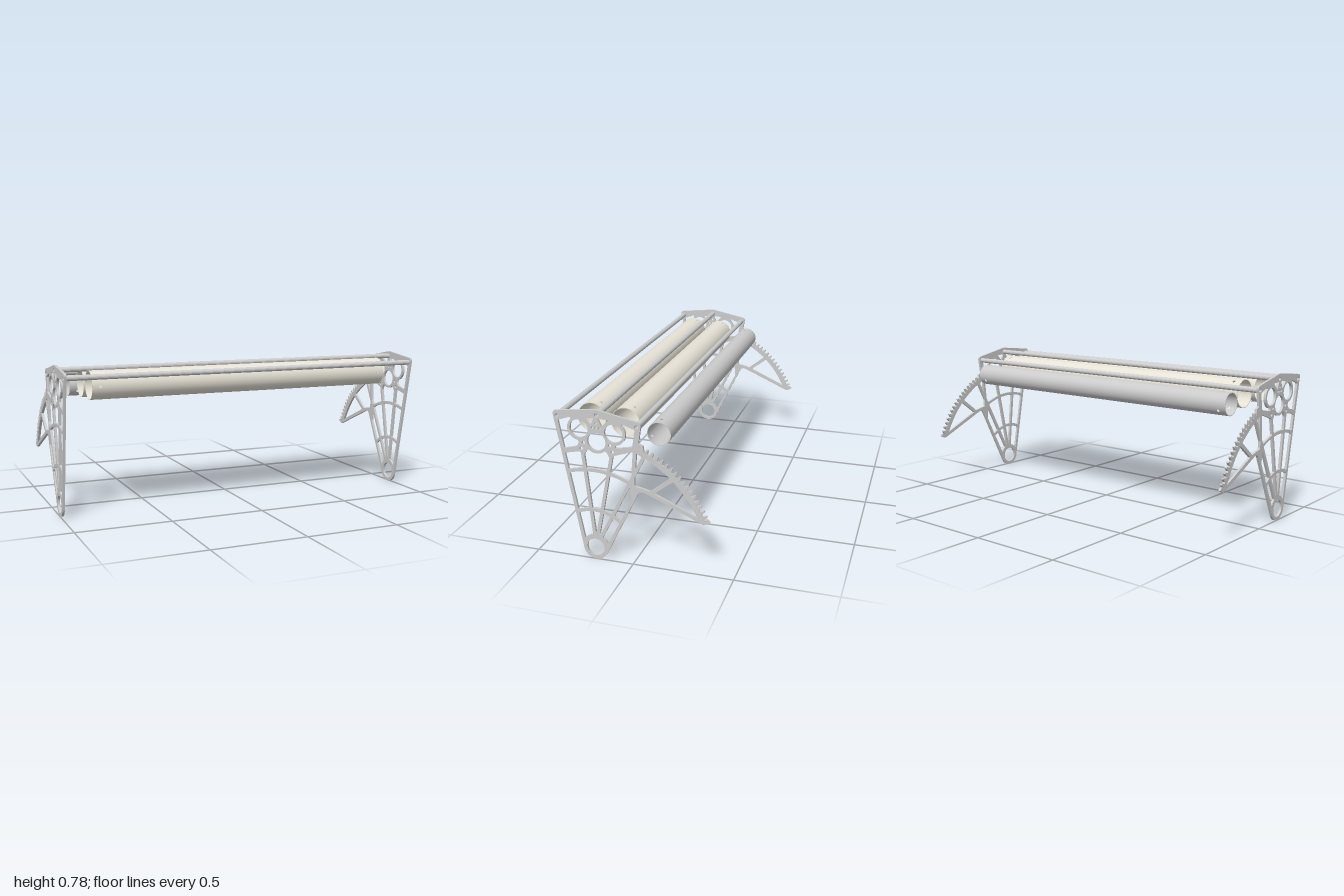
import * as THREE from 'three';
import { mergeGeometries } from 'three/addons/utils/BufferGeometryUtils.js';

const S = 0.00205;                    // size of one plate drawing unit
const PIVOT = { y: 0.0636, z: 0.19 }; // hub centre, origin of the plate drawing
const AXIS = 12;                      // mirror line of the roller rings
const grey = new THREE.MeshStandardMaterial({ color: 0xcccccc });
const cream = new THREE.MeshStandardMaterial({ color: 0xe6e2d6 });
const rodSpots = [[-83, 325], [14, 335], [109, 317]];

// Points on an arc, angles in degrees
function arc(r, a0, a1, n = 8, cx = 0, cy = 0) {
  return Array.from({ length: n + 1 }, (_, i) => {
    const a = THREE.MathUtils.degToRad(a0 + (a1 - a0) * i / n);
    return [cx + r * Math.cos(a), cy + r * Math.sin(a)];
  });
}

// Closed path through [x, y, cornerRadius]
function trace(path, pts) {
  const v = pts.map(p => new THREE.Vector2(p[0], p[1]).multiplyScalar(S));
  const n = v.length;
  pts.forEach((p, i) => {
    const toward = q => {
      const d = q.clone().sub(v[i]);
      return d.setLength(Math.min((p[2] || 0) * S, d.length() * 0.45)).add(v[i]);
    };
    const a = p[2] ? toward(v[(i + n - 1) % n]) : v[i];
    if (i === 0) path.moveTo(a.x, a.y); else path.lineTo(a.x, a.y);
    if (p[2]) {
      const b = toward(v[(i + 1) % n]);
      path.quadraticCurveTo(v[i].x, v[i].y, b.x, b.y);
    }
  });
  path.closePath();
  return path;
}

// Leg spokes as centre lines, bottom to top
const spokes = [
  [-25.5, -8, -88.5, 326], [-2, 32, -24, 245], [7, 37, 48, 245], [15, 30, 124.5, 247], [24, -10, 106, 152],
];

// Where a spoke's left (-1) or right (1) edge lies at radius r from the hub
function at(i, side, r) {
  const [x0, y0, x1, y1] = spokes[i];
  const dir = new THREE.Vector2(x1 - x0, y1 - y0).normalize();
  const p = new THREE.Vector2(x0 + side * 4 * dir.y, y0 - side * 4 * dir.x);
  p.addScaledVector(dir, -p.dot(dir));
  p.addScaledVector(dir, Math.sqrt(r * r - p.lengthSq()));
  return [p.x, p.y, 3];
}

// Opening between two neighbouring spokes and two radii
function cell(i, r0, r1) {
  const between = (p, q, r) => {
    const [a, b] = [p, q].map(c => THREE.MathUtils.radToDeg(Math.atan2(c[1], c[0])));
    return [p, ...arc(r, a, b, 6).slice(1, -1), q];
  };
  return [...between(at(i, 1, r1), at(i + 1, -1, r1), r1), ...between(at(i + 1, -1, r0), at(i, 1, r0), r0)];
}

function plateShape() {
  // Outline: hub, leg, top edge, gear teeth, lower strut; reversed to run anticlockwise
  const teeth = [];
  for (let i = 0; i < 16; i++) {
    const a = 64.05 - i * 2.64;
    for (const [r, d] of [[287, 0], [297, 0.5], [297, 1.15], [287, 1.8]]) teeth.push(arc(r, a - d, a - d, 1)[0]);
  }
  const shape = trace(new THREE.Shape(), [
    ...arc(31, -27, -169.4, 24),
    [-94, 336, 9], [14, 348, 5], [120, 327, 9], [113, 278, 2], [123, 274, 1], [124, 267],
    ...teeth, [273, 112], [280, 106], [265, 98, 2], [114, 164, 14],
  ].reverse());
  const cut = pts => shape.holes.push(trace(new THREE.Path(), pts));
  const bore = (x, y, r) => shape.holes.push(new THREE.Path().absarc(x * S, y * S, r * S, 0, Math.PI * 2, true));

  // Leg openings between spokes and cross arcs
  for (let i = 0; i < 4; i++) cut(cell(i, i % 3 ? 40 : 33, 94));
  for (let i = 0; i < 3; i++) cut(cell(i, 102, 195));
  cut(cell(0, 203, 244));
  cut([at(1, 1, 203), at(1, 1, 237), [-13, 247, 4], ...arc(28.5, 228, 312, 8, AXIS, 271), [37, 247, 4],
    at(2, -1, 239), at(2, -1, 203), ...arc(203, 83, 92)]);
  cut([at(3, 1, 102), at(3, 1, 190), [92, 134, 5], at(4, -1, 102)]);
  cut([at(2, 1, 203), at(2, 1, 246), [99, 257, 4], [94, 196, 3], at(3, -1, 203)]);

  // Geared sector openings
  cut([at(3, -1, 241), [107, 254, 2], at(3, -1, 275)]);
  cut([at(3, 1, 275), ...arc(275, 60, 50), [187, 203, 3], [138, 164, 3], [120, 169, 5], [102, 172, 5], at(3, 1, 217)]);
  cut([[147, 160, 3], [194, 196, 3], ...arc(275, 43.5, 26), [251, 113.5, 2]]);

  // Roller rings, bosses and openings on each side of the ring axis
  const strutCorners = { '-1': [[-32, 262, 2], [-38, 254, 3], [-68, 246, 3]], '1': [[58, 260, 2], [98, 268, 4]] };
  for (const m of [-1, 1]) {
    const drop = m > 0 ? 4 : 0;
    const place = ([x, y, r]) => [AXIS + m * x, y - drop, r];
    bore(AXIS + m * 42, 299 - drop, 22);
    bore(AXIS + m * 38, 250, 4);
    bore(AXIS + m * 32, 265, 4);
    bore(AXIS + m * 9, 304, 3);
    cut([...[[93, 314, 4], [63, 325, 2], ...arc(28.5, 48, -85, 14, 42, 299)].map(place), ...strutCorners[m]]);
    cut([[AXIS + m * 30, 326, 2], [AXIS + m * 5, 328, 2], [AXIS + m * 13, 309, 2]]);
  }
  bore(AXIS, 271, 22);
  bore(AXIS, 304, 3);
  bore(AXIS, 315, 3);

  // Hub and tie rod bores
  bore(0, 0, 22);
  rodSpots.forEach(([x, y]) => bore(x, y, 5));
  return shape;
}

// Thin-walled roller with three drilled holes near each end, made from bent strips
function rollerGeometry(r, half, holeX, firstHole) {
  const wall = 0.003, step = Math.PI / 9, parts = [];
  const strip = (angle, width, drilled) => {
    const w = width * r / 2;
    const s = new THREE.Shape([[-half, -w], [half, -w], [half, w], [-half, w]].map(p => new THREE.Vector2(...p)));
    if (drilled) for (const x of [-holeX, holeX])
      s.holes.push(new THREE.Path().absarc(x, 0, 0.008, 0, Math.PI * 2, true));
    const g = new THREE.ExtrudeGeometry(s, { depth: wall, bevelEnabled: false, curveSegments: 8 });
    const p = g.attributes.position, n = g.attributes.normal;
    for (let i = 0; i < p.count; i++) {
      const a = angle + p.getY(i) / r, R = r - wall + p.getZ(i), c = Math.cos(a), k = Math.sin(a);
      const ny = n.getY(i), nz = n.getZ(i);
      p.setXYZ(i, p.getX(i), R * k, R * c);
      n.setXYZ(i, n.getX(i), ny * c + nz * k, nz * c - ny * k);
    }
    parts.push(g);
  };
  for (let i = 0; i < 18; i++) {
    const a = firstHole + i * step;
    if (i % 6 === 0) strip(a, step, true);
    else for (const d of [-0.25, 0.25]) strip(a + d * step, step / 2, false);
  }
  return mergeGeometries(parts);
}

export function createModel() {
  const model = new THREE.Group();
  const add = (name, geometry, material, x, y, z) => {
    const mesh = new THREE.Mesh(geometry, material);
    mesh.name = name;
    mesh.position.set(x, y, z);
    model.add(mesh);
  };

  // Side plates
  const thick = 0.013;
  const plate = new THREE.ExtrudeGeometry(plateShape(), { depth: thick, bevelEnabled: false, curveSegments: 16 });
  plate.rotateY(Math.PI / 2);
  add('leftSidePlate', plate, grey, 1 - thick, PIVOT.y, PIVOT.z);
  add('rightSidePlate', plate, grey, -1, PIVOT.y, PIVOT.z);

  // Hollow tie rods between the plates
  const span = 1 - thick;
  const tube = new THREE.Shape().absarc(0, 0, 0.0138, 0, Math.PI * 2, false);
  tube.holes.push(new THREE.Path().absarc(0, 0, 0.0085, 0, Math.PI * 2, true));
  const rod = new THREE.ExtrudeGeometry(tube, { depth: 2 * span, bevelEnabled: false, curveSegments: 16 });
  rod.rotateY(Math.PI / 2);
  rodSpots.forEach(([x, y], i) =>
    add(['front', 'middle', 'rear'][i] + 'TieRod', rod, grey, -span, PIVOT.y + y * S, PIVOT.z - x * S));

  // Rollers
  const wide = rollerGeometry(0.074, 0.847, 0.805, 0);
  add('frontRoller', wide, cream, 0, 0.677, 0.25);
  add('middleRoller', wide, cream, 0, 0.669, 0.078);
  add('rearRoller', rollerGeometry(0.059, 0.875, 0.832, Math.PI / 2), grey, 0, 0.64, -0.098);

  return model;
}
